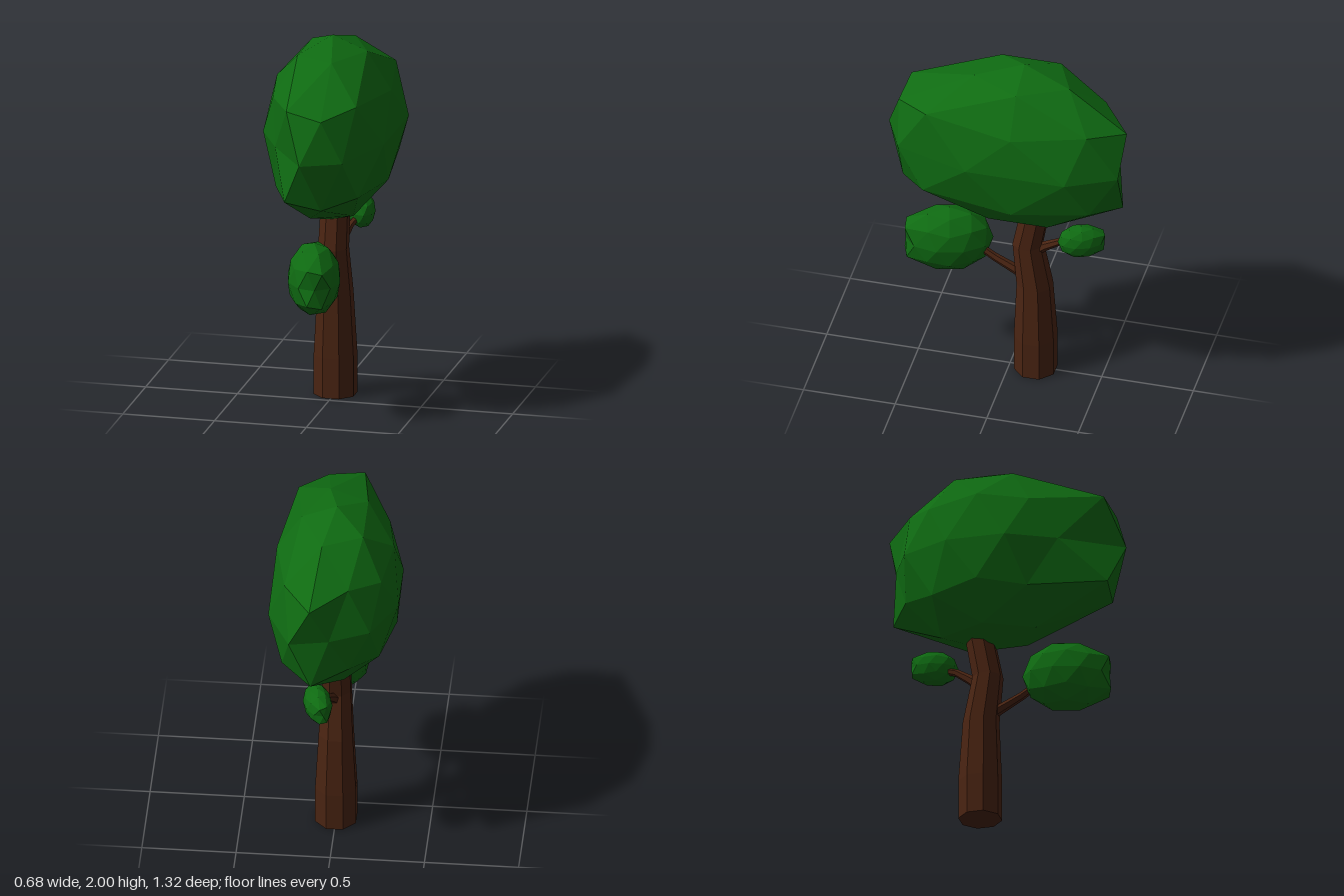
import * as THREE from 'three';

const leaf = new THREE.MeshStandardMaterial({ color: 0x0f6b12, flatShading: true });
const bark = new THREE.MeshStandardMaterial({ color: 0x4a2412, flatShading: true });

// Faceted leaf clump: pole-up icosphere, scaled, with some facets pulled along z
function clump(name, pos, scale, turn, pull) {
  const g = new THREE.IcosahedronGeometry(1, 1);
  g.rotateX(-Math.atan2((1 + Math.sqrt(5)) / 2, 1));
  g.rotateY(Math.PI / 2);
  const p = g.attributes.position;
  for (let i = 0; i < p.count; i++) {
    const x = p.getX(i), y = p.getY(i), z = p.getZ(i);
    p.setXYZ(i, x * scale[0], y * scale[1], z * scale[2] + pull(x, y, z));
  }
  g.computeVertexNormals();
  const mesh = new THREE.Mesh(g, leaf);
  mesh.name = name;
  mesh.position.set(...pos);
  mesh.rotation.y = turn;
  return mesh;
}

// Tapered limb through rings of [x, y, z, radius]; level keeps the rings horizontal
function limb(name, rings, sides, level) {
  const pts = rings.map(r => new THREE.Vector3(r[0], r[1], r[2]));
  const up = new THREE.Vector3(0, 1, 0);
  const pos = [], idx = [];
  rings.forEach((r, k) => {
    const dir = pts[Math.min(k + 1, pts.length - 1)].clone().sub(pts[Math.max(k - 1, 0)]).normalize();
    const q = new THREE.Quaternion().setFromUnitVectors(up, level ? up : dir);
    for (let s = 0; s < sides; s++) {
      const a = ((s + 0.5) / sides) * Math.PI * 2;
      const v = new THREE.Vector3(Math.sin(a) * r[3], 0, Math.cos(a) * r[3]).applyQuaternion(q).add(pts[k]);
      pos.push(v.x, v.y, v.z);
    }
  });
  for (let k = 0; k < rings.length - 1; k++) {
    for (let s = 0; s < sides; s++) {
      const a = k * sides + s, b = k * sides + (s + 1) % sides;
      idx.push(a, b, b + sides, a, b + sides, a + sides);
    }
  }
  // End caps
  const top = (rings.length - 1) * sides;
  for (let s = 1; s < sides - 1; s++) {
    idx.push(0, s + 1, s, top, top + s, top + s + 1);
  }
  const g = new THREE.BufferGeometry();
  g.setAttribute('position', new THREE.Float32BufferAttribute(pos, 3));
  g.setIndex(idx);
  g.computeVertexNormals();
  const mesh = new THREE.Mesh(g, bark);
  mesh.name = name;
  return mesh;
}

export function createModel() {
  const tree = new THREE.Group();
  tree.name = 'tree';

  // Trunk with a slight bend
  tree.add(limb('trunk', [
    [0, 0, -0.14, 0.117],
    [0, 0.22, -0.14, 0.117],
    [0, 0.56, -0.135, 0.098],
    [0, 0.82, -0.098, 0.083],
    [0, 1.02, -0.135, 0.08],
    [0, 1.12, -0.15, 0.077],
  ], 8, true));

  // Branches
  tree.add(limb('frontBranch', [
    [0, 0.6, -0.09, 0.032],
    [0, 0.645, 0.0, 0.026],
    [0, 0.69, 0.085, 0.022],
    [0, 0.74, 0.16, 0.02],
  ], 6, false));
  tree.add(limb('backBranch', [
    [0, 0.77, -0.13, 0.032],
    [0.02, 0.83, -0.2, 0.026],
    [0.045, 0.89, -0.28, 0.02],
    [0.07, 0.92, -0.35, 0.018],
  ], 6, false));

  // Main crown, stretched at the front and at the back on one side
  tree.add(clump('crown', [0, 1.49, -0.08], [0.357, 0.51, 0.52], 0, (x, y, z) => {
    if (Math.abs(y) > 0.8) return 0;
    if (z > 0.25 && x > -0.35) return x > 0.9 ? 0.08 : 0.22;
    if (z < -0.25 && x > 0.05) return -0.14;
    return 0;
  }));

  // Small clumps on the branches
  const blunt = amount => (x, y, z) =>
    Math.abs(y) > 0.4 && Math.abs(y) < 0.6 && z * Math.sign(amount) > 0.7 ? amount : 0;
  tree.add(clump('frontClump', [0, 0.775, 0.33], [0.145, 0.197, 0.232], 0.25, blunt(0.04)));
  tree.add(clump('backClump', [0.075, 0.943, -0.407], [0.075, 0.098, 0.125], 0.33, blunt(-0.018)));

  return tree;
}
